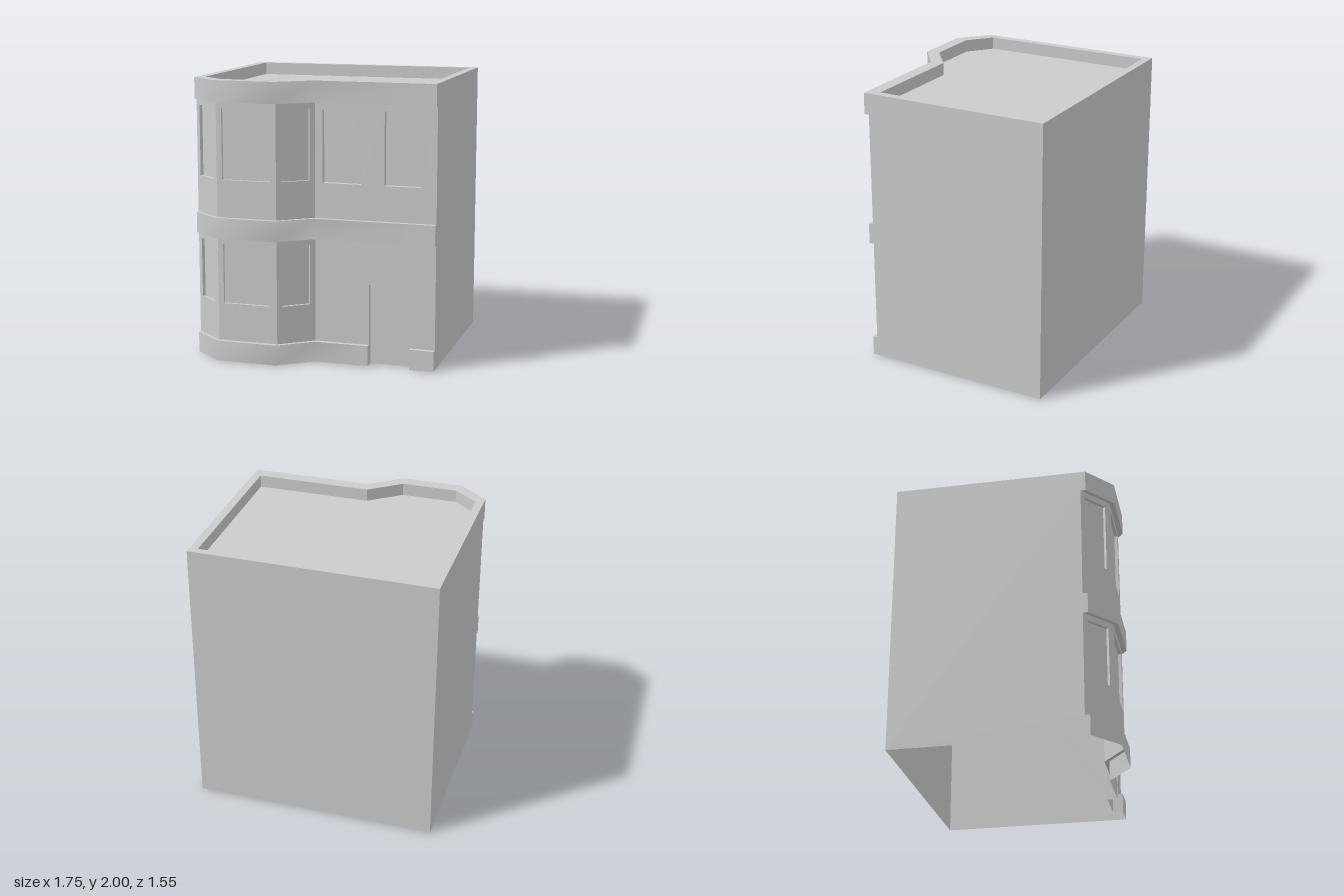
import * as THREE from 'three';

const mat = new THREE.MeshStandardMaterial({ color: 0xcccccc, side: THREE.DoubleSide });

// Plan of the front, left to right as [x, z]; walls sit STEP behind the bands
const FRONT = [[-0.875, 0.6], [-0.66, 0.775], [-0.222, 0.775], [0.005, 0.6], [0.875, 0.6]];
const BACK = -0.775, SIDE = 0.875, TOP = 2, ROOF = 1.91, STEP = 0.035;
const DOOR = { x0: 0.4, x1: 0.7, y: 0.58, z: 0.525 };
const INNER = [[-0.815, 0.54], [-0.64, 0.68], [-0.24, 0.68], [-0.012, 0.505],
  [0.815, 0.505], [0.815, -0.72], [-0.815, -0.72]];

function add(parent, name, geometry) {
  const mesh = new THREE.Mesh(geometry, mat);
  mesh.name = name;
  parent.add(mesh);
  return mesh;
}

// Strip between two rows of points, smooth along its length; a is below b, seen left to right
function strip(a, b) {
  const index = [];
  for (let i = 0; i < a.length - 1; i++) {
    const n = a.length + i;
    index.push(i, i + 1, n + 1, i, n + 1, n);
  }
  const g = new THREE.BufferGeometry();
  g.setAttribute('position', new THREE.Float32BufferAttribute([...a, ...b].flat(), 3));
  g.setIndex(index);
  g.computeVertexNormals();
  return g;
}
const quad = (a, b, c, d) => strip([a, b], [d, c]);
const shapeOf = pts => new THREE.Shape(pts.map(p => new THREE.Vector2(...p)));

// Horizontal sheet from a plan outline, facing up
function sheet(outline, y, hole) {
  const flip = pts => pts.map(([x, z]) => [x, -z]);
  const shape = shapeOf(flip(outline));
  if (hole) shape.holes.push(shapeOf(flip(hole)));
  return new THREE.ShapeGeometry(shape).rotateX(-Math.PI / 2).translate(0, y, 0);
}

// Projecting band with its ledges above and below
function band(parent, name, path, y0, y1, ledgeBelow, ledgeAbove) {
  const row = (y, back = 0) => path.map(([x, z]) => [x, y, z - back]);
  add(parent, name, strip(row(y0), row(y1)));
  if (ledgeBelow) add(parent, name + 'Underside', strip(row(y0, STEP), row(y0)));
  if (ledgeAbove) add(parent, name + 'Ledge', strip(row(y1), row(y1, STEP)));
}

// One flat stretch of wall with recessed windows {x0, x1, y0, y1, depth}
function wall(parent, name, a, b, y0, y1, windows, door) {
  const dx = b[0] - a[0], dz = b[1] - a[1], len = Math.hypot(dx, dz);
  const along = x => (x - a[0]) / dx * len;
  const facet = new THREE.Group();
  facet.name = name;
  facet.position.set(a[0], 0, a[1] - STEP);
  facet.rotation.y = -Math.atan2(dz, dx);
  parent.add(facet);

  const outline = [[0, y0]];
  if (door) {
    const l = along(door.x0), r = along(door.x1);
    outline.push([l, y0], [l, door.y], [r, door.y], [r, y0]);
  }
  outline.push([len, y0], [len, y1], [0, y1]);
  const shape = shapeOf(outline);
  for (const w of windows) {
    const l = along(w.x0), r = along(w.x1), d = -w.depth;
    const c = [[l, w.y0], [r, w.y0], [r, w.y1], [l, w.y1]];
    shape.holes.push(shapeOf(c));
    add(facet, 'windowPane', quad(...c.map(p => [...p, d])));
    c.forEach((p, i) => {
      const q = c[(i + 1) % 4];
      add(facet, 'windowReveal', quad([...p, 0], [...q, 0], [...q, d], [...p, d]));
    });
  }
  add(facet, 'wallFace', new THREE.ShapeGeometry(shape));
}

export function createModel() {
  const model = new THREE.Group();
  model.name = 'building';

  // Bands at base, middle and parapet; the base band is cut by the door
  const last = FRONT[4];
  band(model, 'baseBand', [...FRONT.slice(0, 4), [DOOR.x0, 0.6]], 0, 0.145, false, true);
  band(model, 'baseBandEnd', [[DOOR.x1, 0.6], last], 0, 0.145, false, true);
  band(model, 'middleBand', FRONT, 0.888, 1.035, true, true);
  band(model, 'parapetBand', FRONT, 1.848, TOP, true, false);

  // Two storeys of walls
  const storeys = [
    { y0: 0.145, y1: 0.888, w0: 0.415, w1: 0.845, door: DOOR, flat: [] },
    { y0: 1.035, y1: 1.848, w0: 1.302, w1: 1.805, flat: [[0.06, 0.338], [0.505, 0.768]] },
  ];
  const bay = [['baySideRight', -0.843, -0.695], ['bayFront', -0.62, -0.265], ['baySideLeft', -0.193, -0.027]];
  for (const s of storeys) {
    bay.forEach(([name, x0, x1], i) => wall(model, name, FRONT[i], FRONT[i + 1], s.y0, s.y1,
      [{ x0, x1, y0: s.w0, y1: s.w1, depth: 0.022 }]));
    wall(model, 'flatWall', FRONT[3], last, s.y0, s.y1,
      s.flat.map(([x0, x1]) => ({ x0, x1, y0: 1.285, y1: 1.8, depth: 0.04 })), s.door);
  }

  // Recessed door
  const { x0, x1, y, z } = DOOR, face = 0.6 - STEP;
  add(model, 'door', quad([x0, 0, z], [x1, 0, z], [x1, y, z], [x0, y, z]));
  add(model, 'doorHead', quad([x0, y, z], [x1, y, z], [x1, y, face], [x0, y, face]));
  for (const [x, turn] of [[x0, 1], [x1, -1]]) {
    const jamb = shapeOf([[-0.6, 0], [-z, 0], [-z, y], [-face, y], [-face, 0.145], [-0.6, 0.145]]);
    const g = new THREE.ShapeGeometry(jamb).rotateY(Math.PI / 2);
    if (turn < 0) g.scale(1, 1, -1).rotateY(Math.PI);
    add(model, 'doorJamb', g.translate(x, 0, 0));
  }

  // Side walls, stepped along the front edge where the bands project
  const profile = [[BACK, 0], [0.6, 0]];
  for (const [lo, hi] of [[0.145, 0.888], [1.035, 1.848]]) {
    profile.push([0.6, lo], [face, lo], [face, hi], [0.6, hi]);
  }
  profile.push([0.6, TOP], [BACK, TOP]);
  const leftSide = new THREE.ShapeGeometry(shapeOf(profile.map(([pz, py]) => [-pz, py])));
  add(model, 'leftWall', leftSide.rotateY(Math.PI / 2).translate(SIDE, 0, 0));
  const rightSide = new THREE.ShapeGeometry(shapeOf(profile));
  add(model, 'rightWall', rightSide.rotateY(-Math.PI / 2).translate(-SIDE, 0, 0));
  add(model, 'backWall', quad([SIDE, 0, BACK], [-SIDE, 0, BACK], [-SIDE, TOP, BACK], [SIDE, TOP, BACK]));

  // Parapet top, its inner faces and the sunken roof
  add(model, 'parapetTop', sheet([...FRONT, [SIDE, BACK], [-SIDE, BACK]], TOP, INNER));
  add(model, 'roof', sheet(INNER, ROOF));
  INNER.forEach((p, i) => {
    const q = INNER[(i + 1) % INNER.length];
    add(model, 'parapetInside', quad([q[0], ROOF, q[1]], [p[0], ROOF, p[1]], [p[0], TOP, p[1]], [q[0], TOP, q[1]]));
  });
  return model;
}
